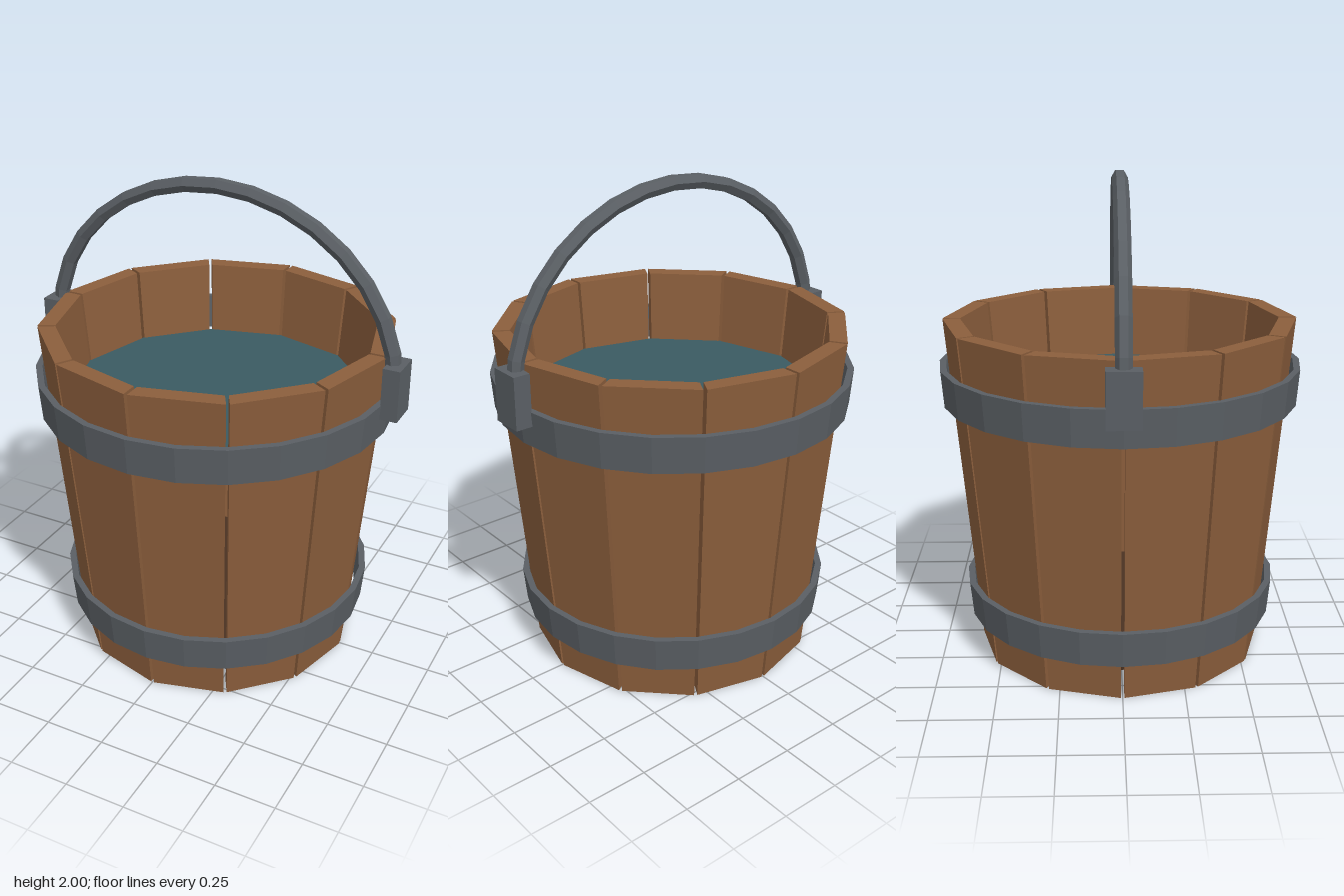
import * as THREE from 'three';

const WOOD = 0x8b5e3c, METAL = 0x5a5f64, WATER = 0x3a5a62, BASE = 0x4a3222;
const STAVES = 12, HEIGHT = 1.405, R_BOTTOM = 0.6, R_TOP = 0.726, WALL = 0.072, GAP = 0.007;

// Outer radius of the wooden wall at height y
const wallRadius = (y) => R_BOTTOM + (R_TOP - R_BOTTOM) * y / HEIGHT;

function material(color, side = THREE.FrontSide) {
  return new THREE.MeshStandardMaterial({ color, flatShading: true, side });
}

function part(name, geometry, mat, parent) {
  const mesh = new THREE.Mesh(geometry, mat);
  mesh.name = name;
  parent.add(mesh);
  return mesh;
}

// One tapered plank: a box whose corners are moved onto the sloping wall
function staveGeometry() {
  const geometry = new THREE.BoxGeometry(1, 1, 1);
  const pos = geometry.attributes.position;
  const half = Math.PI / STAVES;
  for (let i = 0; i < pos.count; i++) {
    const y = pos.getY(i) > 0 ? HEIGHT : 0;
    const r = wallRadius(y) - (pos.getZ(i) > 0 ? 0 : WALL);
    const x = Math.sign(pos.getX(i)) * (r * Math.sin(half) - GAP);
    pos.setXYZ(i, x, y, r * Math.cos(half));
  }
  geometry.computeVertexNormals();
  return geometry;
}

// Closed, slightly conical ring with a rectangular section
function hoopGeometry(y0, y1, r0, r1, thickness) {
  const profile = [
    [r0 - thickness, y0], [r0, y0], [r1, y1], [r1 - thickness, y1], [r0 - thickness, y0],
  ].map(([r, y]) => new THREE.Vector2(r, y));
  return new THREE.LatheGeometry(profile, 24);
}

export function createModel() {
  const bucket = new THREE.Group();
  bucket.name = 'bucket';
  const wood = material(WOOD);
  const metal = material(METAL);

  // Ring of staves with narrow gaps between them
  const staves = new THREE.Group();
  staves.name = 'staves';
  bucket.add(staves);
  const plank = staveGeometry();
  for (let i = 0; i < STAVES; i++) {
    part('stave', plank, wood, staves).rotation.y = (i + 0.5) * 2 * Math.PI / STAVES;
  }

  // Recessed bottom board
  const baseRadius = wallRadius(0.09) - WALL;
  const base = part('bottomBoard',
    new THREE.CylinderGeometry(baseRadius + 0.004, baseRadius, 0.05, STAVES), material(BASE), bucket);
  base.position.y = 0.115;

  // Water surface
  const water = part('water', new THREE.CircleGeometry(wallRadius(1.1) - WALL + 0.002, STAVES),
    material(WATER, THREE.DoubleSide), bucket);
  water.rotation.x = -Math.PI / 2;
  water.position.y = 1.1;

  // Metal hoops
  part('lowerHoop', hoopGeometry(0.16, 0.305, 0.642, 0.656, 0.027), metal, bucket);
  part('upperHoop', hoopGeometry(1.08, 1.23, 0.731, 0.743, 0.027), metal, bucket);

  // Brackets holding the handle
  for (const side of [-1, 1]) {
    const bracket = part('handleBracket', new THREE.BoxGeometry(0.07, 0.215, 0.132), metal, bucket);
    bracket.position.set(side * 0.765, 1.278, 0);
  }

  // Arched handle with a six-sided section
  const arch = new THREE.CatmullRomCurve3(Array.from({ length: 17 }, (_, i) => {
    const a = Math.PI * i / 16;
    return new THREE.Vector3(0.76 * Math.cos(a), 1.28 + 0.692 * Math.sin(a), 0);
  }));
  part('handle', new THREE.TubeGeometry(arch, 16, 0.032, 6, false), metal, bucket);

  return bucket;
}
